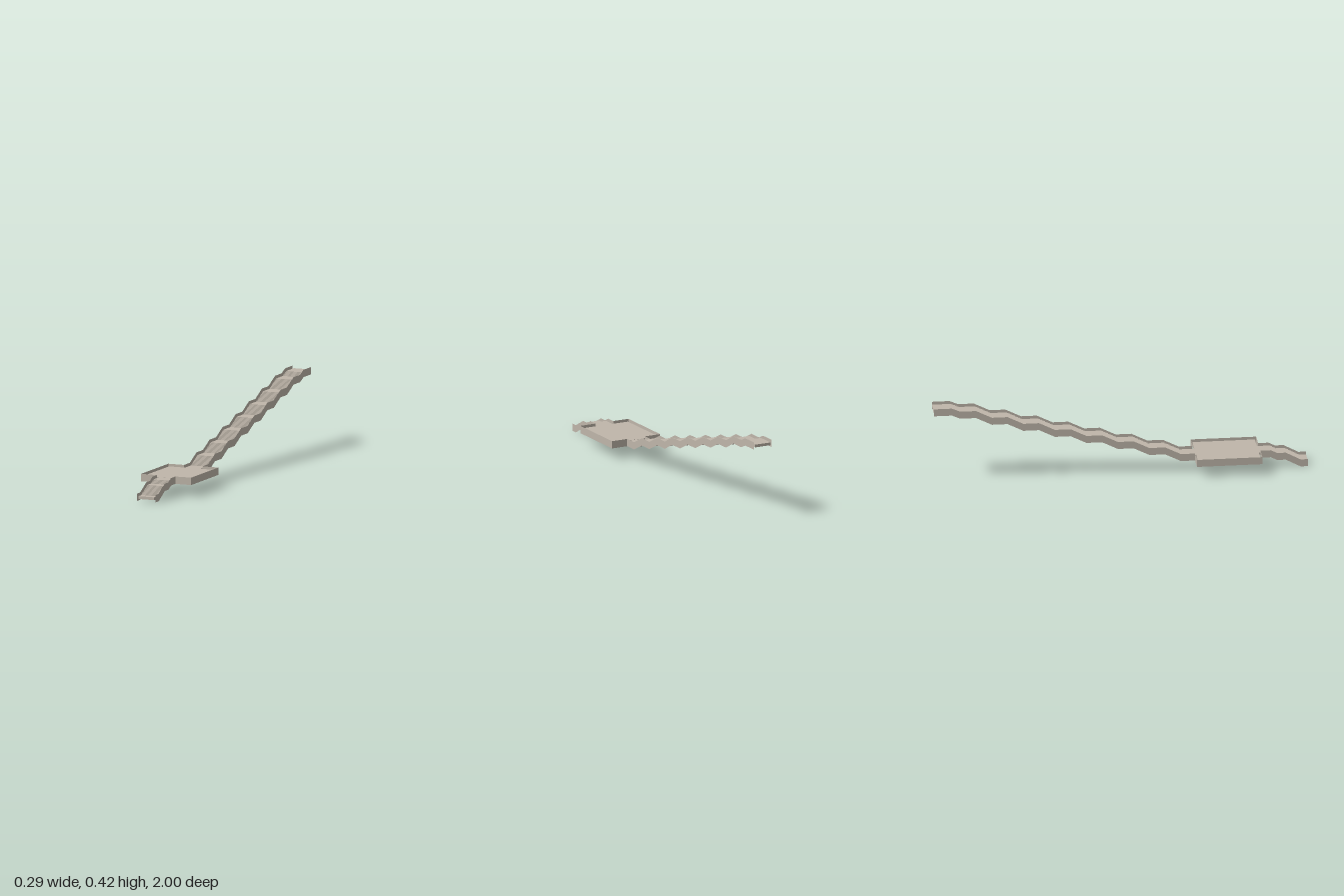
import * as THREE from 'three';

const stone = new THREE.MeshStandardMaterial({ color: 0xbfb6aa });
stone.name = 'paleStone';
const stoneSheet = new THREE.MeshStandardMaterial({ color: 0xbfb6aa, side: THREE.DoubleSide });
stoneSheet.name = 'paleStoneSheet';
stoneSheet.flatShading = true;

const HALF_FLOOR = 0.046, HALF_WALL = 0.054;   // stair floor and parapet half widths
const HALF_PLAZA = 0.146, GAP = 0.008;         // terrace parapet, gap beside its floor
const PLAZA_FRONT = 0.745, PLAZA_BACK = 0.395;
const RISE = 0.0425, STEP = 0.00425;

// Centre line of the walkway as [z, y], corner to corner
const lower = [[1, 0.02], [0.96, 0.02], [0.88, 0.0625], [0.835, 0.0625], [0.8, 0.08], [PLAZA_FRONT, 0.08]];
const upper = [[PLAZA_BACK, 0.08]];
for (let i = 0; i < 7; i++) {
  const z = 0.32 - i * 0.1685, y = 0.08 + i * RISE;
  upper.push([z, y], [z - 0.085, y + RISE]);
}
upper.push([-0.86, 0.3775], [-0.905, 0.3975], [-1, 0.3975]);

// Turns every slope of a centre line into small steps
function stepped(path) {
  const out = [path[0]];
  for (let i = 1; i < path.length; i++) {
    const [z0, y0] = path[i - 1], [z1, y1] = path[i];
    const n = Math.round((y1 - y0) / STEP);
    for (let k = 0; k < n; k++) {
      const z = z0 + (z1 - z0) * k / n, y = y0 + (y1 - y0) * (k + 1) / n;
      out.push([z, y0 + (y1 - y0) * k / n], [z, y]);
    }
    out.push([z1, y1]);
  }
  return out.filter((p, i) => i === 0 || Math.hypot(p[0] - out[i - 1][0], p[1] - out[i - 1][1]) > 1e-6);
}

// Stepped slab with landings
function stairFloor(path, name) {
  const line = stepped(path);
  const top = line.map(([z, y]) => new THREE.Vector2(-z, y + 0.0068));
  const bottom = line.map(([z, y]) => new THREE.Vector2(-z, y - 0.0084)).reverse();
  const geo = new THREE.ExtrudeGeometry(new THREE.Shape([...top, ...bottom]),
    { depth: 2 * HALF_FLOOR, bevelEnabled: false });
  geo.rotateY(Math.PI / 2).translate(-HALF_FLOOR, 0, 0);
  const mesh = new THREE.Mesh(geo, stone);
  mesh.name = name;
  return mesh;
}

// Thin upright parapet following the stairs and going around the terrace
function parapet(side, name) {
  const path = [
    ...lower.map(([z, y]) => [HALF_WALL, y, z]),
    [HALF_PLAZA, 0.08, PLAZA_FRONT], [HALF_PLAZA, 0.08, PLAZA_BACK],
    ...upper.map(([z, y]) => [HALF_WALL, y, z]),
  ];
  const pos = [];
  for (let i = 1; i < path.length; i++) {
    const [ax, ay, az] = path[i - 1], [bx, by, bz] = path[i];
    const a0 = [side * ax, ay - 0.02, az], a1 = [side * ax, ay + 0.02, az];
    const b0 = [side * bx, by - 0.02, bz], b1 = [side * bx, by + 0.02, bz];
    if (side > 0) pos.push(...a0, ...b0, ...b1, ...a0, ...b1, ...a1);
    else pos.push(...a0, ...b1, ...b0, ...a0, ...a1, ...b1);
  }
  const geo = new THREE.BufferGeometry();
  geo.setAttribute('position', new THREE.Float32BufferAttribute(pos, 3));
  geo.computeVertexNormals();
  const mesh = new THREE.Mesh(geo, stoneSheet);
  mesh.name = name;
  return mesh;
}

export function createModel() {
  const model = new THREE.Group();
  model.name = 'terracedStairway';

  // Stairs run up to the terrace floor, just inside its parapet
  const front = lower.slice(), back = upper.slice();
  front[front.length - 1] = [PLAZA_FRONT - GAP, 0.08];
  back[0] = [PLAZA_BACK + GAP, 0.08];
  model.add(stairFloor(front, 'lowerStairs'), stairFloor(back, 'upperStairs'));

  // Wide terrace
  const terrace = new THREE.Mesh(new THREE.BoxGeometry(
    2 * (HALF_PLAZA - GAP), 0.0195, PLAZA_FRONT - PLAZA_BACK - 2 * GAP), stone);
  terrace.position.set(0, 0.0778, (PLAZA_FRONT + PLAZA_BACK) / 2);
  terrace.name = 'terraceFloor';
  model.add(terrace);

  model.add(parapet(1, 'leftParapet'), parapet(-1, 'rightParapet'));
  return model;
}
